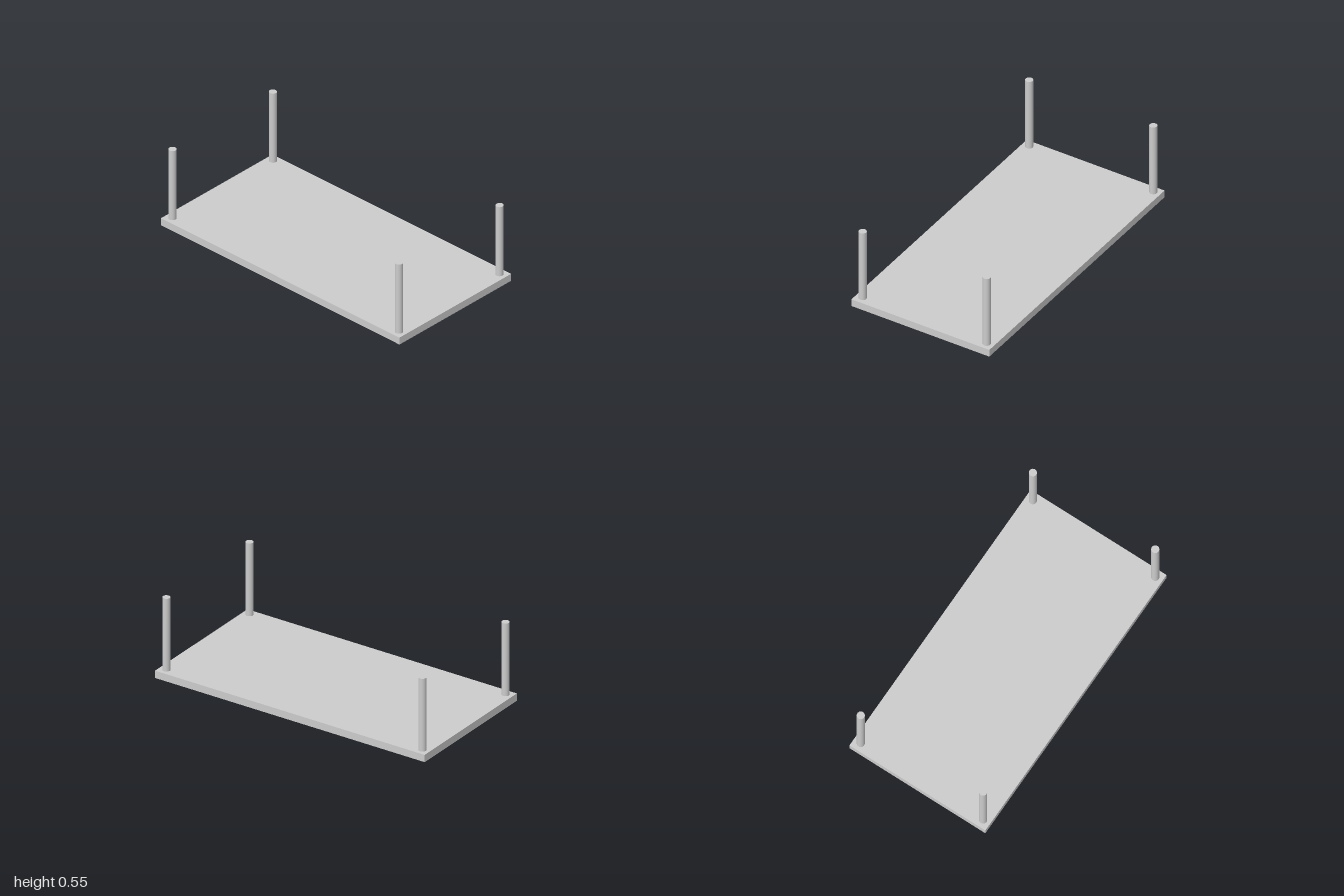
import * as THREE from 'three';

export function createModel() {
  const model = new THREE.Group();
  model.name = 'upturnedTable';
  const material = new THREE.MeshStandardMaterial({ color: 0xcccccc });

  // Flat rectangular slab resting on the ground
  const thickness = 0.05;
  const top = new THREE.Mesh(new THREE.BoxGeometry(2, thickness, 1), material);
  top.name = 'tableTop';
  top.position.y = thickness / 2;
  model.add(top);

  // Four round legs standing on the slab, inset from its corners
  const legHeight = 0.5;
  const legGeometry = new THREE.CylinderGeometry(0.025, 0.025, legHeight, 32);
  for (const [side, x] of [['Left', 0.95], ['Right', -0.95]]) {
    for (const [end, z] of [['front', 0.45], ['back', -0.45]]) {
      const leg = new THREE.Mesh(legGeometry, material);
      leg.name = `${end}${side}Leg`;
      leg.position.set(x, thickness + legHeight / 2, z);
      model.add(leg);
    }
  }
  return model;
}
